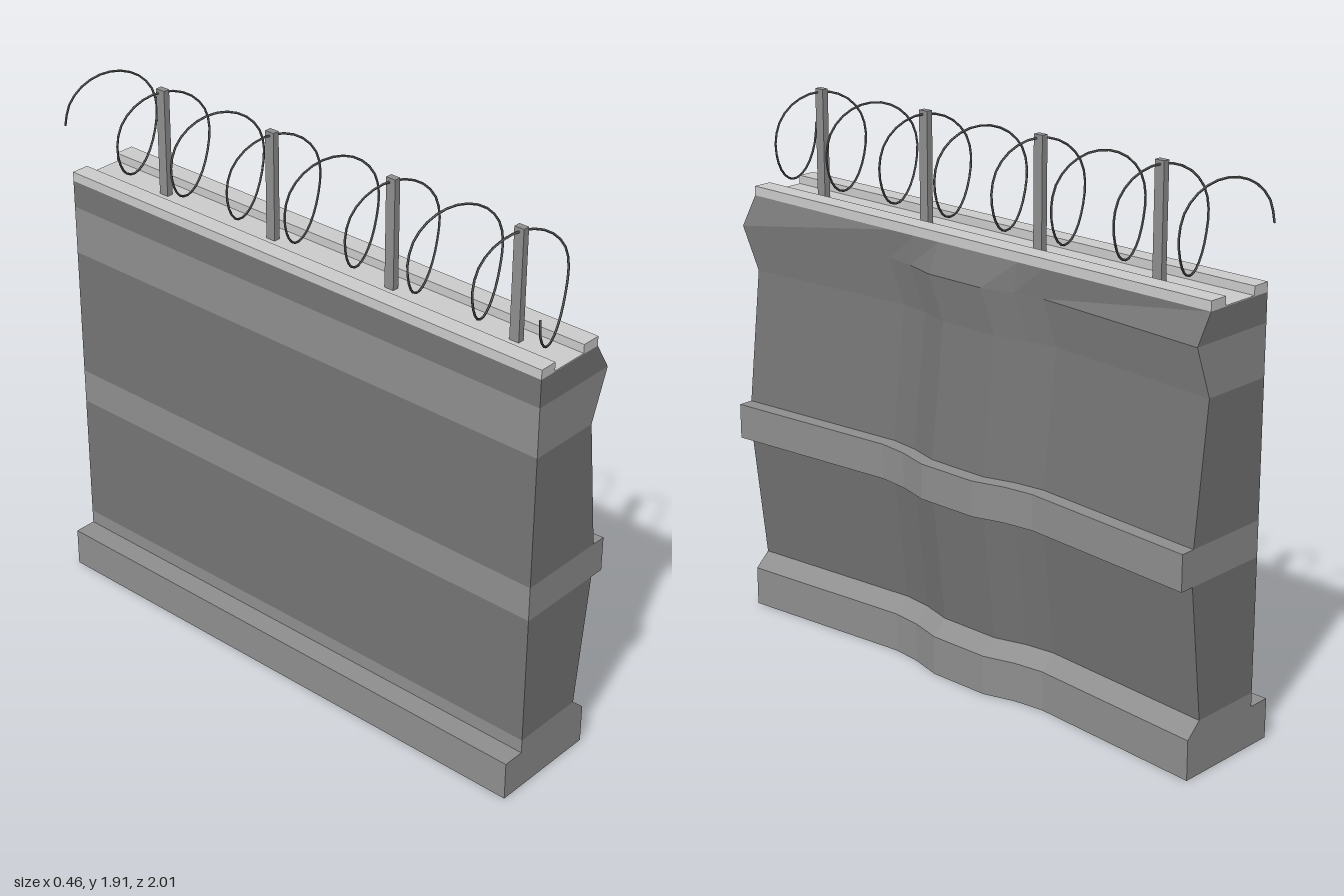
import * as THREE from 'three';

const paint = (color) => new THREE.MeshStandardMaterial({ color, flatShading: true });

// How far the outer face is set back along the wall: [z, offset in x]
const stations = [[-1, 0], [-0.34, -0.058], [-0.23, -0.045], [-0.115, -0.013],
  [0.115, -0.013], [0.23, -0.045], [0.34, -0.058], [1, 0]];

// Sweeps a counter-clockwise outline along z; corners [x, y, 1] follow the wave
function sweep(outline) {
  const pos = [];
  const n = outline.length;
  const rings = stations.map(([z, off]) => outline.map(([x, y, wave = 0]) => [x + wave * off, y, z]));
  for (let s = 0; s < rings.length - 1; s++) {
    const a = rings[s], b = rings[s + 1];
    for (let i = 0; i < n; i++) {
      const j = (i + 1) % n;
      pos.push(...b[i], ...a[i], ...a[j], ...b[i], ...a[j], ...b[j]);
    }
  }
  // End caps
  const flat = outline.map(([x, y]) => new THREE.Vector2(x, y));
  const first = rings[0], last = rings[rings.length - 1];
  for (const [i, j, k] of THREE.ShapeUtils.triangulateShape(flat, [])) {
    pos.push(...last[i], ...last[j], ...last[k], ...first[k], ...first[j], ...first[i]);
  }
  const geo = new THREE.BufferGeometry();
  geo.setAttribute('position', new THREE.Float32BufferAttribute(pos, 3));
  geo.computeVertexNormals();
  return geo;
}

export function createModel() {
  const model = new THREE.Group();
  model.name = 'fortifiedWall';
  const dark = paint(0x757575), mid = paint(0x8f8f8f), light = paint(0xcccccc), wire = paint(0x606060);
  const add = (name, geo, mat) => {
    const mesh = new THREE.Mesh(geo, mat);
    mesh.name = name;
    model.add(mesh);
    return mesh;
  };
  const back = -0.15;
  // Wall course between two heights, with its outer x at each
  const course = (x0, y0, x1, y1, topWave = 1) =>
    sweep([[back, y0], [x0, y0, 1], [x1, y1, topWave], [back, y1]]);

  // Wall courses from the ground up
  add('base', sweep([[-0.23, 0], [0.175, 0, 1], [0.175, 0.14, 1], [0.12, 0.19, 1],
    [back, 0.19], [back, 0.14], [-0.23, 0.14]]), mid);
  add('lowerWall', course(0.12, 0.19, 0.175, 0.66), dark);
  add('middleBand', course(0.228, 0.66, 0.228, 0.785), mid);
  add('upperWall', course(0.175, 0.785, 0.12, 1.255), dark);
  add('flaredBand', course(0.12, 1.255, 0.185, 1.43), mid);
  add('topCourse', course(0.185, 1.43, 0.125, 1.527, 0), dark);

  // Light coping with a raised curb along both edges
  add('coping', sweep([[back, 1.527], [0.125, 1.527], [0.125, 1.56], [0.055, 1.56],
    [0.055, 1.53], [-0.085, 1.53], [-0.085, 1.56], [back, 1.56]]), light);

  // Posts
  for (const z of [0.8, 0.305, -0.2, -0.69]) {
    add('wirePost', new THREE.BoxGeometry(0.024, 0.38, 0.036), mid).position.set(-0.014, 1.72, z);
  }

  // Coiled wire: slanted loops, each half turn advancing in step with x
  const turns = 8, sides = 14, radius = 0.16, points = [];
  for (let i = 0; i <= turns * sides; i++) {
    const turn = Math.floor(i / sides);
    const t = (i % sides) / sides * Math.PI * 2;
    const swing = (1 - Math.cos(t)) / 2;
    const run = t <= Math.PI ? 0.14 * swing : 0.25 - 0.11 * swing;
    points.push(new THREE.Vector3(-0.012 - radius * Math.cos(t), 1.738 - radius * Math.sin(t),
      1 - turn * 0.25 - run));
  }
  const coil = new THREE.CatmullRomCurve3(points);
  add('wireCoil', new THREE.TubeGeometry(coil, turns * sides * 2, 0.004, 5), wire);

  return model;
}
